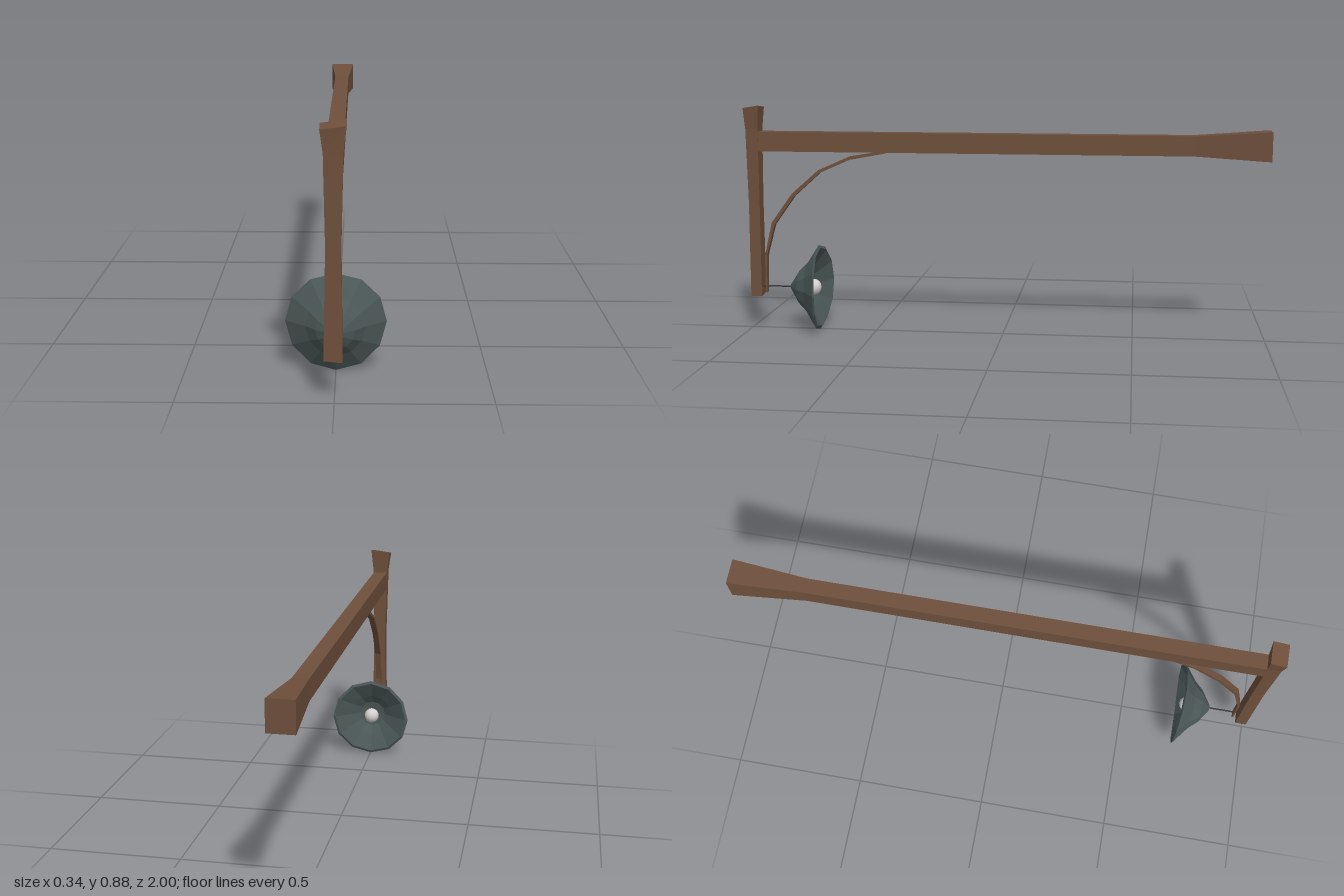
import * as THREE from 'three';

// Lofts a closed solid through four-cornered rings (counter-clockwise seen from the far end)
function loft(rings) {
  const index = [];
  for (let s = 0; s < rings.length - 1; s++) {
    for (let i = 0; i < 4; i++) {
      const a = s * 4 + i, b = s * 4 + (i + 1) % 4;
      index.push(a, b, b + 4, a, b + 4, a + 4);
    }
  }
  const e = (rings.length - 1) * 4;
  index.push(0, 2, 1, 0, 3, 2, e, e + 1, e + 2, e, e + 2, e + 3);
  const g = new THREE.BufferGeometry();
  g.setAttribute('position', new THREE.Float32BufferAttribute(rings.flat(2), 3));
  g.setIndex(index);
  return faceted(g);
}

function faceted(g) {
  const flat = g.index ? g.toNonIndexed() : g;
  flat.computeVertexNormals();
  return flat;
}

export function createModel() {
  const model = new THREE.Group();
  model.name = 'hangingLampBeam';
  const material = (name, color) => {
    const m = new THREE.MeshStandardMaterial({ color });
    m.name = name;
    return m;
  };
  const wood = material('brown wood', 0x6e4f3b);
  const metal = material('grey green metal', 0x4b5857);
  const dark = material('dark cable', 0x3a3a3a);
  const glass = material('pale bulb', 0xd6d0d0);
  const add = (name, geometry, mat, parent = model) => {
    const mesh = new THREE.Mesh(geometry, mat);
    mesh.name = name;
    parent.add(mesh);
    return mesh;
  };

  // Upright post with a flared, slightly crooked top: y, x0, x1, z0, z1, tilt, front drop
  const postRing = ([y, x0, x1, z0, z1, tilt = 0, drop = 0]) => [
    [x0, y - tilt - drop, z1], [x1, y + tilt - drop, z1], [x1, y + tilt, z0], [x0, y - tilt, z0],
  ];
  add('post', loft([
    [0.136, -0.033, 0.026, 0.952, 0.995, -0.003],
    [0.50, -0.027, 0.022, 0.95, 0.993],
    [0.79, -0.033, 0.028, 0.947, 0.995],
    [0.878, -0.043, 0.038, 0.941, 1.0, 0.005, 0.01],
  ].map(postRing)), wood);

  // Long beam running back, flared at its far end: z, x0, x1, y0, y1
  const beamRing = ([z, x0, x1, y0, y1]) => [[x1, y0, z], [x0, y0, z], [x0, y1, z], [x1, y1, z]];
  add('beam', loft([
    [0.96, -0.031, 0.026, 0.706, 0.781],
    [-0.72, -0.031, 0.026, 0.706, 0.781],
    [-1.0, -0.05, 0.045, 0.69, 0.80],
  ].map(beamRing)), wood);

  // Thin curved brace: z, y, half thickness
  const path = [
    [0.938, 0.145, 0.003], [0.936, 0.29, 0.004], [0.903, 0.42, 0.007], [0.82, 0.535, 0.007],
    [0.715, 0.628, 0.006], [0.595, 0.681, 0.006], [0.455, 0.706, 0.005],
  ];
  add('brace', loft(path.map(([z, y, h], i) => {
    const a = path[Math.max(i - 1, 0)], b = path[Math.min(i + 1, path.length - 1)];
    const len = Math.hypot(b[0] - a[0], b[1] - a[1]);
    const ny = -(b[0] - a[0]) / len * h, nz = (b[1] - a[1]) / len * h;
    const x0 = -0.014, x1 = 0.009;
    return [[x0, y + ny, z + nz], [x1, y + ny, z + nz], [x1, y - ny, z - nz], [x0, y - ny, z - nz]];
  })), wood);

  // Lamp, its axis along z
  const lamp = new THREE.Group();
  lamp.name = 'lamp';
  lamp.position.y = 0.17;
  model.add(lamp);

  // Twelve-sided shade with an inner skin and a gently warped rim
  const profile = [
    [0, 0.79], [0.055, 0.78], [0.09, 0.754], [0.157, 0.713], [0.168, 0.718],
    [0.1, 0.766], [0.066, 0.802], [0.012, 0.838], [0, 0.838],
  ].map(([r, z]) => new THREE.Vector2(r, z));
  const shade = new THREE.LatheGeometry(profile, 12).rotateX(Math.PI / 2);
  const p = shade.attributes.position;
  for (let i = 0; i < p.count; i++) {
    const x = p.getX(i), y = p.getY(i);
    p.setZ(i, p.getZ(i) + (y * y - x * x) * 0.25);
  }
  add('shade', faceted(shade), metal, lamp);

  // Cable from the post, bulb holder and bulb
  const rod = (name, r, z0, z1, sides, mat) => {
    const g = new THREE.CylinderGeometry(r, r, z1 - z0, sides).rotateX(Math.PI / 2);
    add(name, faceted(g.translate(0, 0, (z0 + z1) / 2)), mat, lamp);
  };
  rod('cable', 0.003, 0.83, 0.955, 6, dark);
  rod('bulbHolder', 0.02, 0.765, 0.80, 8, metal);
  add('bulb', new THREE.SphereGeometry(0.032, 12, 8).translate(0, 0, 0.75), glass, lamp);

  return model;
}
